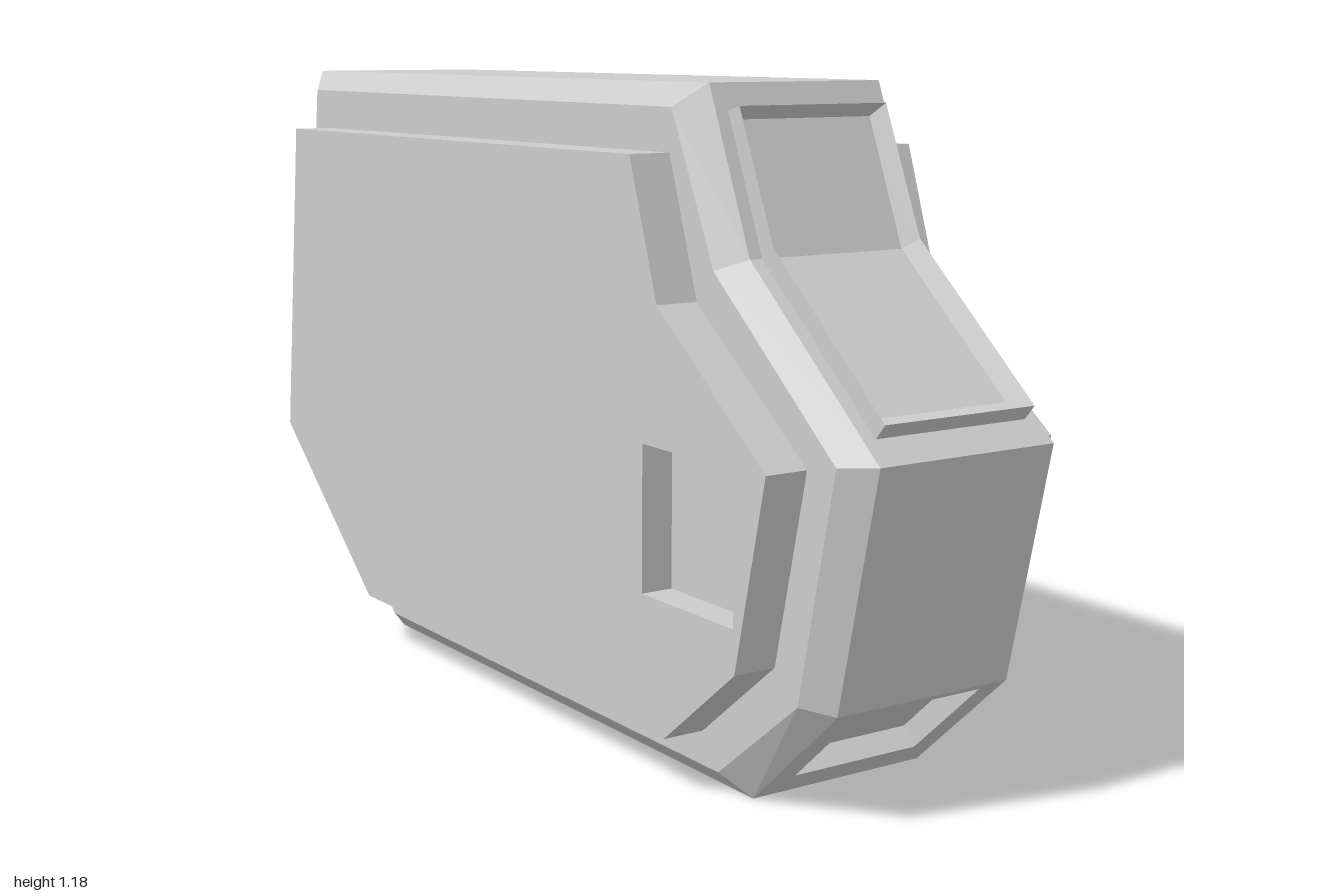
import * as THREE from 'three';

const material = new THREE.MeshStandardMaterial({ color: 0xcccccc, flatShading: true });

// Side profiles as [z, y], from the nose down, back along the floor and over the roof
const outer = [[1, 0.615], [0.91, 0.2], [0.695, 0], [-0.555, 0], [-1, 0.385], [-0.9, 1.18], [0.555, 1.18], [0.67, 0.9]];
const inner = [[0.945, 0.61], [0.86, 0.21], [0.65, 0.04], [-0.52, 0.04], [-0.94, 0.385], [-0.845, 1.14], [0.505, 1.14], [0.625, 0.88]];
const panel = [[0.875, 0.595], [0.8, 0.26], [0.605, 0.1], [-0.48, 0.1], [-0.855, 0.41], [-0.785, 1.06], [0.5, 1.065], [0.58, 0.825]];

function addMesh(parent, name, geometry) {
  const mesh = new THREE.Mesh(geometry, material);
  mesh.name = name;
  parent.add(mesh);
  return mesh;
}

// Joins closed rings of [x, y, z] points with flat quads
function loft(rings, skip = () => false) {
  const positions = [];
  for (let j = 0; j < rings.length - 1; j++) {
    const n = rings[j].length;
    for (let i = 0; i < n; i++) {
      if (skip(j, i)) continue;
      const k = (i + 1) % n;
      const [a, b, c, d] = [rings[j][i], rings[j][k], rings[j + 1][k], rings[j + 1][i]];
      positions.push(...a, ...b, ...c, ...a, ...c, ...d);
    }
  }
  const geometry = new THREE.BufferGeometry();
  geometry.setAttribute('position', new THREE.Float32BufferAttribute(positions, 3));
  geometry.computeVertexNormals();
  return geometry;
}

const ringAt = (profile, x) => profile.map(([z, y]) => [x, y, z]);

// Extrudes a side profile across x, centred on x = 0
function slab(profile, width, hole) {
  const toPoints = (list) => list.map(([z, y]) => new THREE.Vector2(-z, y));
  const shape = new THREE.Shape(toPoints(profile));
  if (hole) shape.holes.push(new THREE.Path(toPoints(hole)));
  const geometry = new THREE.ExtrudeGeometry(shape, { depth: width, bevelEnabled: false });
  return geometry.translate(0, 0, -width / 2).rotateY(Math.PI / 2);
}

const rectangle = (x0, x1, y0, y1) => [[x0, y0], [x1, y0], [x1, y1], [x0, y1]].map(([x, y]) => new THREE.Vector2(x, y));

export function createModel() {
  const model = new THREE.Group();
  model.name = 'cabin';

  // Core, with a chamfered shell around its rim; the chin strip is left open
  addMesh(model, 'bodyCore', slab(inner, 0.44));
  const rings = [ringAt(inner, -0.22), ringAt(outer, -0.18), ringAt(outer, 0.18), ringAt(inner, 0.22)];
  addMesh(model, 'bodyShell', loft(rings, (j, i) => j === 1 && i === 1));

  // Sloping chin plate with a slot
  const depth = 0.041;
  const rise = 0.2, run = 0.215;
  const chinShape = new THREE.Shape(rectangle(-0.18, 0.18, 0, Math.hypot(rise, run)));
  chinShape.holes.push(new THREE.Path(rectangle(-0.13, 0.13, 0.066, 0.279)));
  const chinGeometry = new THREE.ExtrudeGeometry(chinShape, { depth, bevelEnabled: false });
  const chin = addMesh(model, 'chinPlate', chinGeometry.translate(0, 0, -depth));
  chin.rotation.x = Math.atan2(run, rise);
  chin.position.z = 0.695;

  // Raised side panels with a square pocket near the front
  const pocket = [[0.795, 0.335], [0.54, 0.335], [0.54, 0.59], [0.795, 0.59]];
  for (const [side, sign] of [['left', 1], ['right', -1]]) {
    const group = new THREE.Group();
    group.name = `${side}SidePanel`;
    addMesh(group, 'panel', slab(panel, 0.08, pocket)).position.x = sign * 0.26;
    const floor = addMesh(group, 'pocketFloor', new THREE.BoxGeometry(0.02, 0.255, 0.255));
    floor.position.set(sign * 0.23, 0.4625, 0.6675);
    model.add(group);
  }

  // Windscreen rim: straight outer wall, inner wall sloping back to the glass
  const frameRing = (path, x) => [
    ...path.map(([z, y]) => [-x, y, z]),
    ...path.slice().reverse().map(([z, y]) => [x, y, z]),
  ];
  addMesh(model, 'windscreenFrame', loft([
    frameRing([[0.573, 1.135], [0.67, 0.9], [0.959, 0.65]], 0.155),
    frameRing([[0.605, 1.143], [0.699, 0.919], [0.98, 0.675]], 0.155),
    frameRing([[0.58, 1.12], [0.67, 0.9], [0.93, 0.675]], 0.14),
  ]));

  return model;
}
